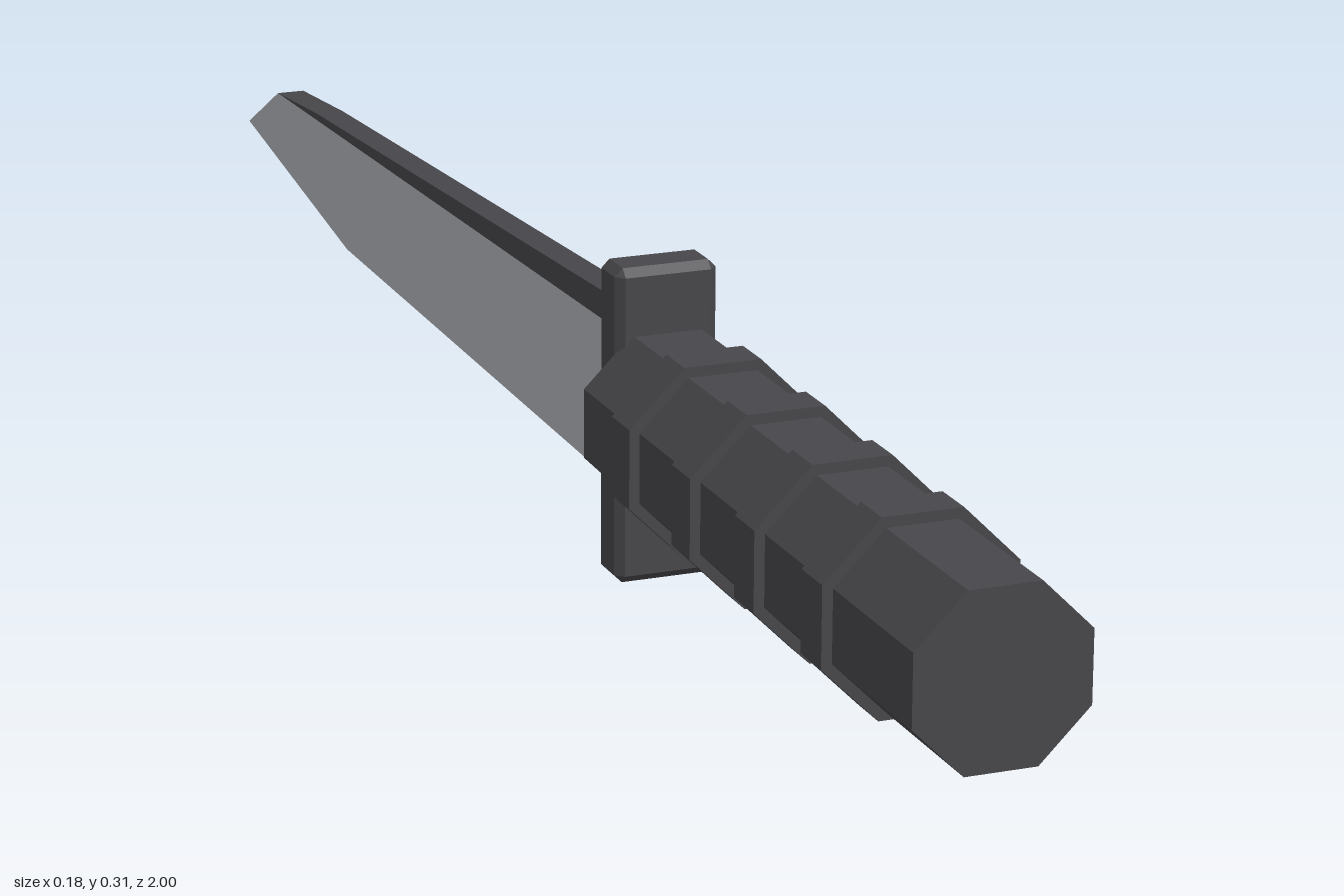
import * as THREE from 'three';
import { ConvexGeometry } from 'three/addons/geometries/ConvexGeometry.js';

const AXIS_Y = 0.164; // height of the handle's axis

export function createModel() {
  const steel = new THREE.MeshStandardMaterial({ color: 0xb2b4ba, flatShading: true });
  steel.name = 'steel';
  const black = new THREE.MeshStandardMaterial({ color: 0x47464a, flatShading: true });
  black.name = 'black';

  const model = new THREE.Group();
  model.name = 'knife';
  const add = (name, geometry, material) => {
    const mesh = new THREE.Mesh(geometry, material);
    mesh.name = name;
    model.add(mesh);
    return mesh;
  };

  // Octagonal bar along z, with flats facing up and sideways
  const octagon = (apothem, z0, z1) => {
    const r = apothem / Math.cos(Math.PI / 8);
    return new THREE.CylinderGeometry(r, r, z1 - z0, 8)
      .rotateY(Math.PI / 8)
      .rotateX(Math.PI / 2)
      .translate(0, AXIS_Y, (z0 + z1) / 2);
  };

  // Plate cut from a [z, y] outline, centred on x = 0
  const plate = (outline, thickness) =>
    new THREE.ExtrudeGeometry(
      new THREE.Shape(outline.map(([z, y]) => new THREE.Vector2(z, y))),
      { depth: thickness, bevelEnabled: false }
    ).translate(0, 0, -thickness / 2).rotateY(-Math.PI / 2);

  // Box with every edge chamfered
  const chamferBox = (w, h, d, c) => {
    const points = [];
    for (const sx of [-1, 1]) for (const sy of [-1, 1]) for (const sz of [-1, 1]) {
      for (let flat = 0; flat < 3; flat++) {
        const inset = [c, c, c];
        inset[flat] = 0;
        points.push(new THREE.Vector3(
          sx * (w / 2 - inset[0]), sy * (h / 2 - inset[1]), sz * (d / 2 - inset[2])));
      }
    }
    return new ConvexGeometry(points);
  };

  // Handle and its grip rings
  add('handle', octagon(0.082, 0.25, 1), black);
  for (let i = 0; i < 4; i++) {
    const z = 0.37 + i * 0.148;
    add('gripRing', octagon(0.092, z - 0.022, z + 0.022), black);
  }

  // Cross guard
  add('guard', chamferBox(0.102, 0.312, 0.05, 0.008), black).position.set(0, 0.156, 0.232);

  // Blade, with a dark spine let into its upper edge
  add('blade', plate([
    [0.22, 0.066], [0.22, 0.256], [0.15, 0.253], [0.15, 0.224],
    [-0.89, 0.198], [-1, 0.138], [-0.65, 0.08]
  ], 0.03), steel);
  add('spine', plate([
    [0.15, 0.224], [0.15, 0.253], [-0.75, 0.209], [-0.89, 0.198]
  ], 0.03), black);

  return model;
}
